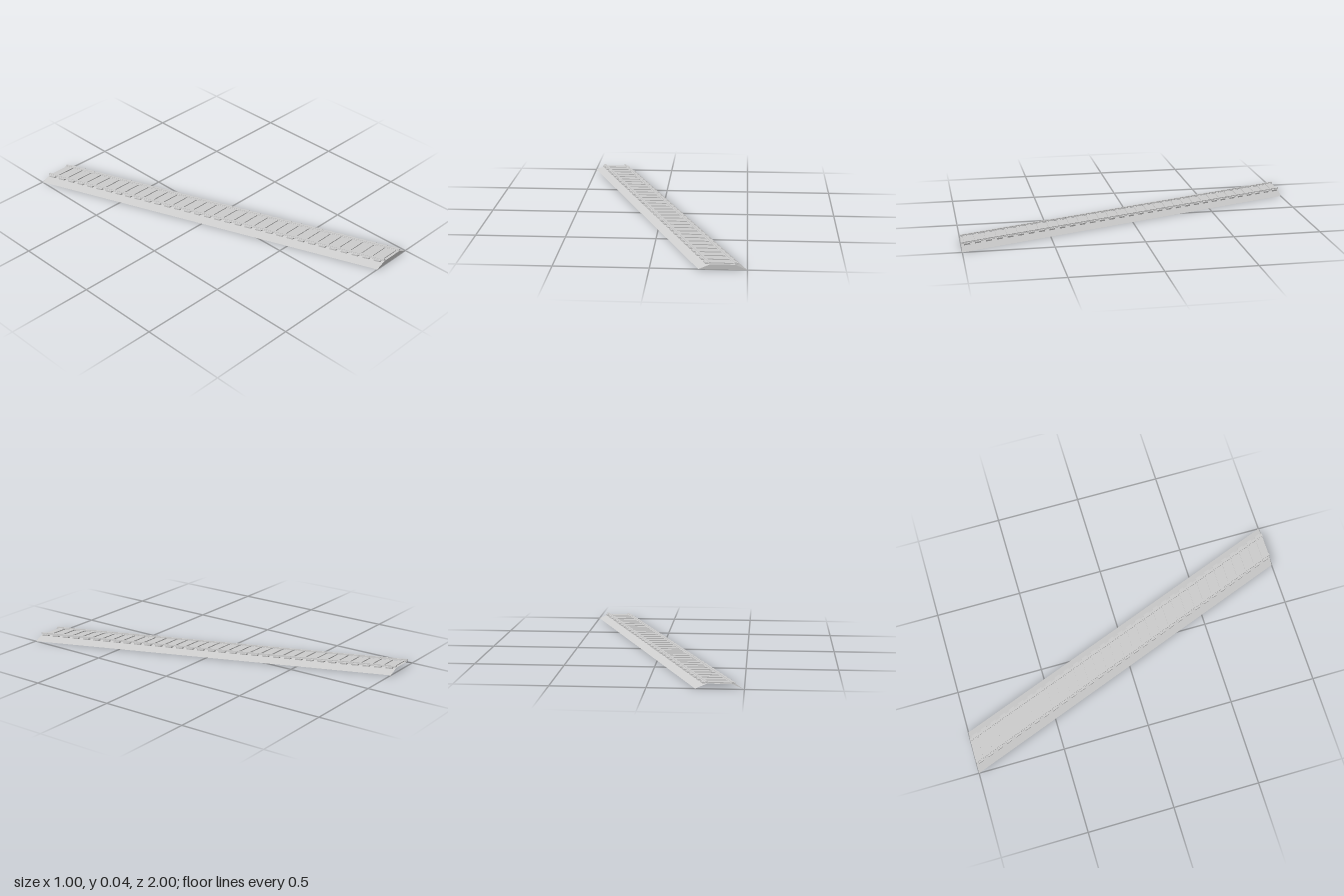
import * as THREE from 'three';

const SHEAR = 0.375; // sideways drift of the track per unit of length
const skew = new THREE.Matrix4().makeShear(0, 0, 0, 0, SHEAR, 0);
skew.set(1, 0, SHEAR, 0, 0, 1, 0, 0, 0, 0, 1, 0, 0, 0, 0, 1);

const material = new THREE.MeshStandardMaterial({
  color: 0xcccccc, flatShading: true, side: THREE.DoubleSide,
});

function part(name, geometry) {
  geometry.applyMatrix4(skew);
  geometry.computeVertexNormals();
  const mesh = new THREE.Mesh(geometry, material);
  mesh.name = name;
  return mesh;
}

function outline(points) {
  return new THREE.Shape(points.map(([x, y]) => new THREE.Vector2(x, y)));
}

export function createModel() {
  const track = new THREE.Group();
  track.name = 'diagonalTrack';

  // Ballast bed: two slopes and a top, open underneath and at the back
  const bed = [[-0.125, 0], [-0.064, 0.027], [0.064, 0.027], [0.125, 0]];
  const positions = [];
  for (let i = 0; i < 3; i++) {
    const [a, b] = [bed[i], bed[i + 1]];
    positions.push(...a, 1, ...b, 1, ...b, -1, ...a, 1, ...b, -1, ...a, -1);
  }
  const bedGeometry = new THREE.BufferGeometry();
  bedGeometry.setAttribute('position', new THREE.Float32BufferAttribute(positions, 3));
  track.add(part('ballastBed', bedGeometry));

  // Closed front end of the bed
  const cap = new THREE.ShapeGeometry(outline(bed));
  cap.translate(0, 0, 1);
  track.add(part('ballastFrontEnd', cap));

  // Sleepers, sunk a little into the bed
  const sleepers = new THREE.Group();
  sleepers.name = 'sleepers';
  const count = 33;
  const step = 2 / count;
  for (let i = 0; i < count; i++) {
    const sleeper = new THREE.BoxGeometry(0.17, 0.008, step * 0.55);
    sleeper.translate(0, 0.0285, -1 + (i + 0.5) * step);
    sleepers.add(part('sleeper', sleeper));
  }
  track.add(sleepers);

  // Rails with foot, web and head
  const half = [[0.009, 0.031], [0.009, 0.0335], [0.003, 0.0345], [0.003, 0.036],
    [0.006, 0.0365], [0.006, 0.039]];
  const profile = [...half, ...half.map(([x, y]) => [-x, y]).reverse()];
  for (const side of [1, -1]) {
    const rail = new THREE.ExtrudeGeometry(outline(profile), { depth: 2, bevelEnabled: false });
    rail.translate(side * 0.066, 0, -1);
    track.add(part(side > 0 ? 'leftRail' : 'rightRail', rail));
  }
  return track;
}
